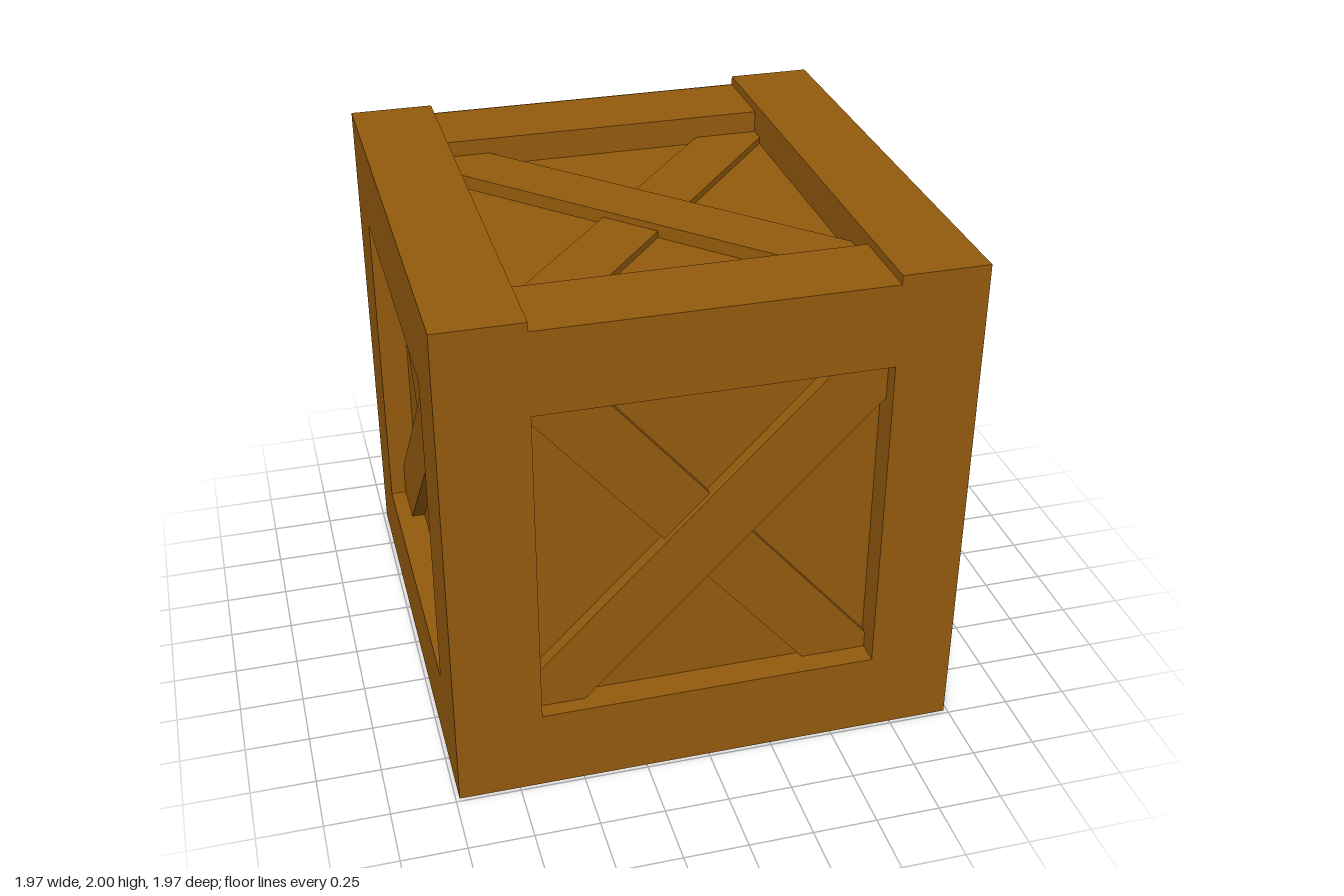
import * as THREE from 'three';

const HALF = 0.985;    // half the crate width
const WINDOW = 0.655;  // half the recess width
const DEPTH = 0.115;   // recess depth
const HEIGHT = 1.965;  // crate height below the raised battens

export function createModel() {
  const crate = new THREE.Group();
  crate.name = 'crate';
  const wood = new THREE.MeshStandardMaterial({ color: 0x935a0c, side: THREE.DoubleSide });
  wood.name = 'brown wood';

  function add(parent, name, geometry, x = 0, y = 0, z = 0) {
    const mesh = new THREE.Mesh(geometry, wood);
    mesh.name = name;
    mesh.position.set(x, y, z);
    parent.add(mesh);
    return mesh;
  }

  // Diagonal plank: front and back are depths behind the frame face
  function addPlank(parent, name, angle, front, back, y) {
    const plank = add(parent, name, new THREE.BoxGeometry(1.9, 0.24, back - front),
      0, y, -(front + back) / 2);
    plank.rotation.z = THREE.MathUtils.degToRad(angle);
  }

  // One face of the crate, looking along +z with the frame at z = 0
  function makeFace(name, mirror, plankY) {
    const face = new THREE.Group();
    face.name = name;

    // Thin frame around a square window
    const outline = new THREE.Shape([
      new THREE.Vector2(-HALF, -HALF), new THREE.Vector2(HALF, -HALF),
      new THREE.Vector2(HALF, HEIGHT - HALF), new THREE.Vector2(-HALF, HEIGHT - HALF),
    ]);
    outline.holes.push(new THREE.Path([
      new THREE.Vector2(-WINDOW, -WINDOW), new THREE.Vector2(-WINDOW, WINDOW),
      new THREE.Vector2(WINDOW, WINDOW), new THREE.Vector2(WINDOW, -WINDOW),
    ]));
    add(face, 'frame', new THREE.ShapeGeometry(outline));

    // Recess: back panel and four side walls
    add(face, 'panel', new THREE.PlaneGeometry(2 * WINDOW, 2 * WINDOW), 0, 0, -DEPTH);
    for (let i = 0; i < 4; i++) {
      const wall = new THREE.PlaneGeometry(2 * WINDOW, DEPTH);
      wall.rotateX(-Math.PI / 2);
      wall.translate(0, -WINDOW, -DEPTH / 2);
      wall.rotateZ(i * Math.PI / 2);
      add(face, 'recessWall', wall);
    }

    // Crossed planks, the first lying over the second
    addPlank(face, 'upperPlank', 45.5 * mirror, 0.062, 0.28, plankY);
    addPlank(face, 'lowerPlank', -49.7 * mirror, 0.088, 0.2, plankY);
    crate.add(face);
    return face;
  }

  // Four sides
  ['frontSide', 'leftSide', 'backSide', 'rightSide'].forEach((name, i) => {
    const angle = i * Math.PI / 2;
    const side = makeFace(name, 1, i % 2 ? -0.02 : 0);
    side.position.set(Math.sin(angle) * HALF, HALF, Math.cos(angle) * HALF);
    side.rotation.y = angle;
  });

  // Lid
  const lid = makeFace('lid', -1, 0);
  lid.position.y = HEIGHT;
  lid.rotation.x = -Math.PI / 2;

  // Raised battens along both edges of the lid
  const rise = 2 - HEIGHT;
  for (const s of [-1, 1]) {
    add(crate, 'batten', new THREE.BoxGeometry(HALF - WINDOW, rise, 2 * HALF),
      s * (HALF + WINDOW) / 2, HEIGHT + rise / 2, 0);
  }
  return crate;
}
